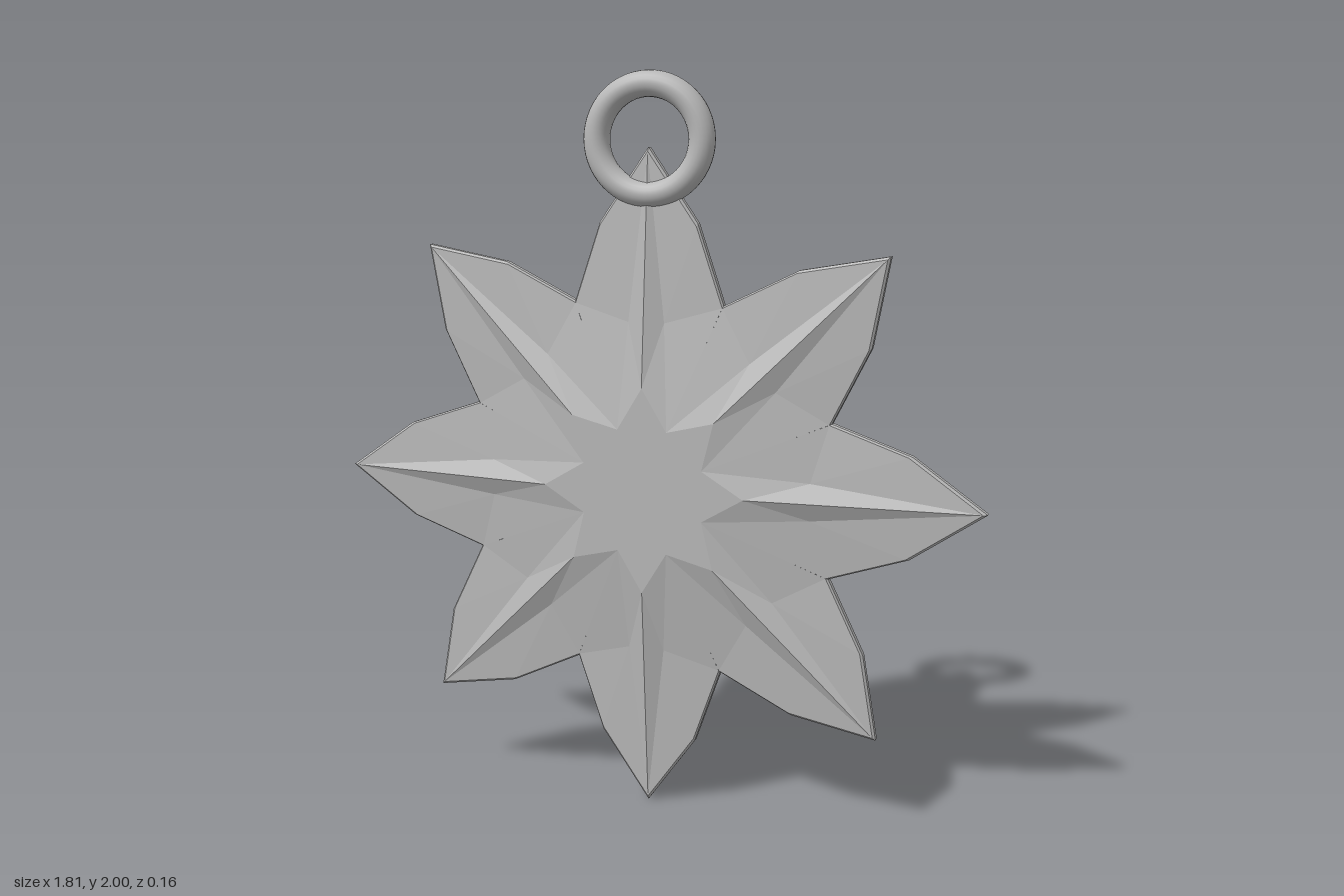
import * as THREE from 'three';

const CENTER_Y = 0.903;
const PETALS = 8;

// Half of one petal (u along the petal, v to its side, z depth); mirrored and turned for the rest
const TIP = [0.903, 0], SHOULDER = [0.71, 0.135], VALLEY = [0.5, 0.207];
const at = ([u, v], z, s = 1) => [u * s, v * s, z];
const INSET = 0.988;

// Repeats a list of half-petal triangles around the star
function starGeometry(triangles) {
  const positions = [];
  for (let k = 0; k < PETALS; k++) {
    const a = (k * 2 * Math.PI) / PETALS, c = Math.cos(a), s = Math.sin(a);
    for (const side of [1, -1]) {
      for (const [p, q, r] of triangles) {
        for (const [u, v, z] of side > 0 ? [p, q, r] : [p, r, q]) {
          positions.push(u * c - v * side * s, u * s + v * side * c, z);
        }
      }
    }
  }
  const geometry = new THREE.BufferGeometry();
  geometry.setAttribute('position', new THREE.Float32BufferAttribute(positions, 3));
  geometry.computeVertexNormals(); // unshared corners keep every facet flat
  return geometry;
}

// Flat star in the middle, a ridge along each petal and a groove on both sides of it
function frontTriangles() {
  const center = [0, 0, 0.08], starPoint = [0.28, 0, 0.08], starNotch = [0.166, 0.069, 0.08];
  const groove = [0.45, 0.05, 0.043];
  const tip = at(TIP, 0.03, INSET), shoulder = at(SHOULDER, 0.03, INSET), valley = at(VALLEY, 0.03, INSET);
  return [
    [center, starPoint, starNotch],
    [starPoint, groove, starNotch],
    [starPoint, tip, groove],
    [groove, tip, shoulder],
    [groove, shoulder, valley],
    [starNotch, groove, valley],
  ];
}

// Shallow faceted cone
function backTriangles() {
  const apex = [0, 0, -0.083];
  const tip = at(TIP, 0, INSET), shoulder = at(SHOULDER, 0, INSET), valley = at(VALLEY, 0, INSET);
  return [[apex, shoulder, tip], [apex, valley, shoulder]];
}

// Thin edge with a small bevel on both sides
function rimTriangles() {
  const levels = [[0, INSET], [0.006, 1], [0.024, 1], [0.03, INSET]];
  const triangles = [];
  for (const [p, q] of [[TIP, SHOULDER], [SHOULDER, VALLEY]]) {
    for (let i = 0; i < levels.length - 1; i++) {
      const a = at(p, ...levels[i]), b = at(q, ...levels[i]);
      const c = at(q, ...levels[i + 1]), d = at(p, ...levels[i + 1]);
      triangles.push([a, b, c], [a, c, d]);
    }
  }
  return triangles;
}

export function createModel() {
  const model = new THREE.Group();
  model.name = 'starPendant';
  const silver = new THREE.MeshStandardMaterial({ color: 0xb8b8b8 });
  silver.name = 'silver';

  const star = new THREE.Group();
  star.name = 'star';
  star.position.y = CENTER_Y;
  const parts = { starFront: frontTriangles(), starBack: backTriangles(), starRim: rimTriangles() };
  for (const [name, triangles] of Object.entries(parts)) {
    const mesh = new THREE.Mesh(starGeometry(triangles), silver);
    mesh.name = name;
    star.add(mesh);
  }
  model.add(star);

  // Hanging ring around the top petal
  const ring = new THREE.Mesh(new THREE.TorusGeometry(0.144, 0.035, 20, 56), silver);
  ring.name = 'hangingRing';
  ring.scale.y = 0.975;
  ring.position.set(0, 1.825, 0.02);
  model.add(ring);

  return model;
}
